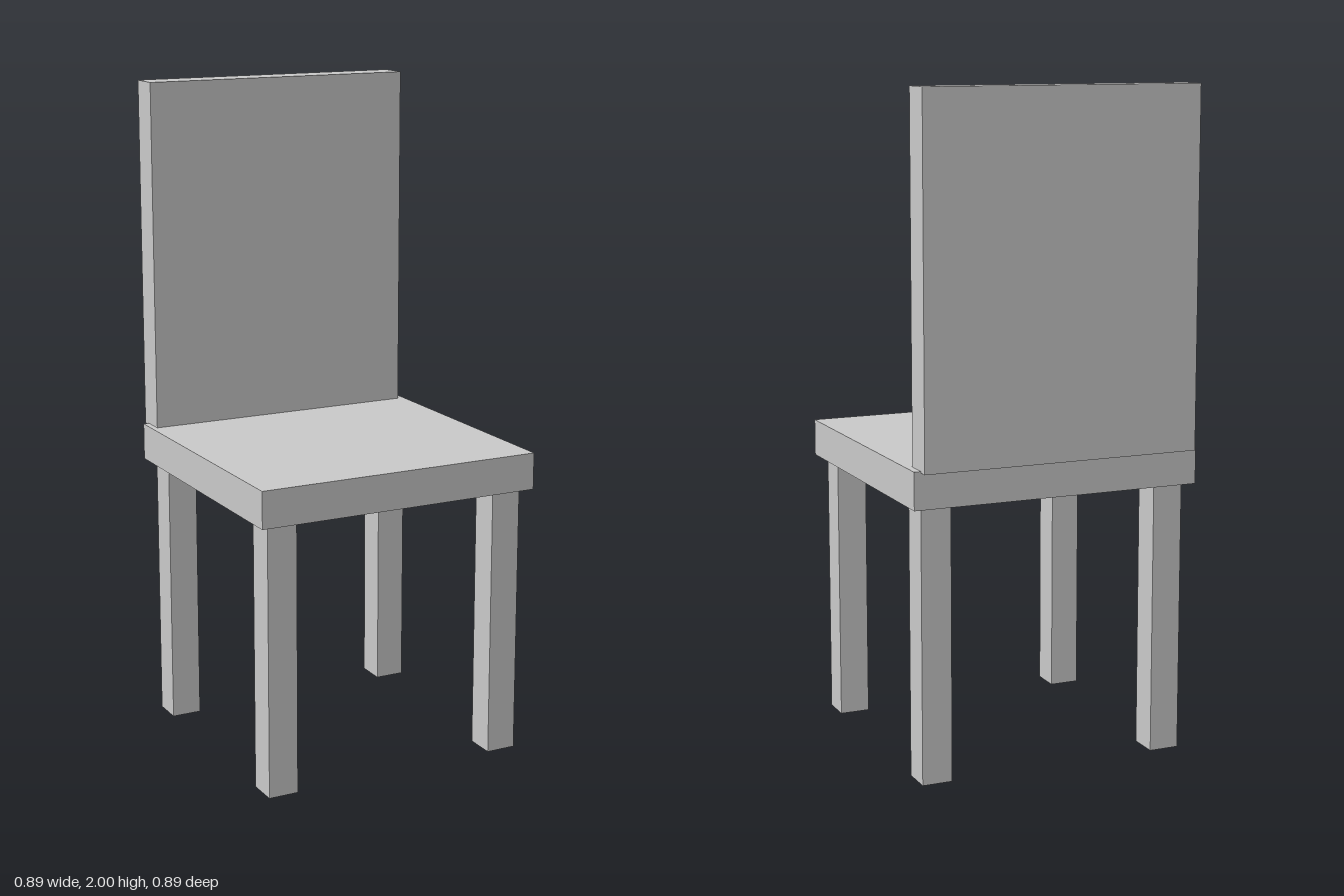
import * as THREE from 'three';

const material = new THREE.MeshStandardMaterial({ color: 0xcccccc, flatShading: true });

// Box given by its extents along each axis
function block(name, [x0, x1], [y0, y1], [z0, z1]) {
  const mesh = new THREE.Mesh(new THREE.BoxGeometry(x1 - x0, y1 - y0, z1 - z0), material);
  mesh.position.set((x0 + x1) / 2, (y0 + y1) / 2, (z0 + z1) / 2);
  mesh.name = name;
  return mesh;
}

export function createModel() {
  const chair = new THREE.Group();
  chair.name = 'chair';

  // Seat slab and upright back panel, which overhangs the rear edge
  chair.add(block('seat', [-0.447, 0.447], [0.825, 0.937], [-0.415, 0.443]));
  chair.add(block('backrest', [-0.429, 0.426], [0.932, 2], [-0.443, -0.348]));

  // Four square legs
  const sides = { Right: [-0.419, -0.327], Left: [0.322, 0.414] };
  const rows = { front: [0.323, 0.417], back: [-0.381, -0.287] };
  for (const [row, z] of Object.entries(rows)) {
    for (const [side, x] of Object.entries(sides)) {
      chair.add(block(`${row}${side}Leg`, x, [0, 0.827], z));
    }
  }
  return chair;
}
